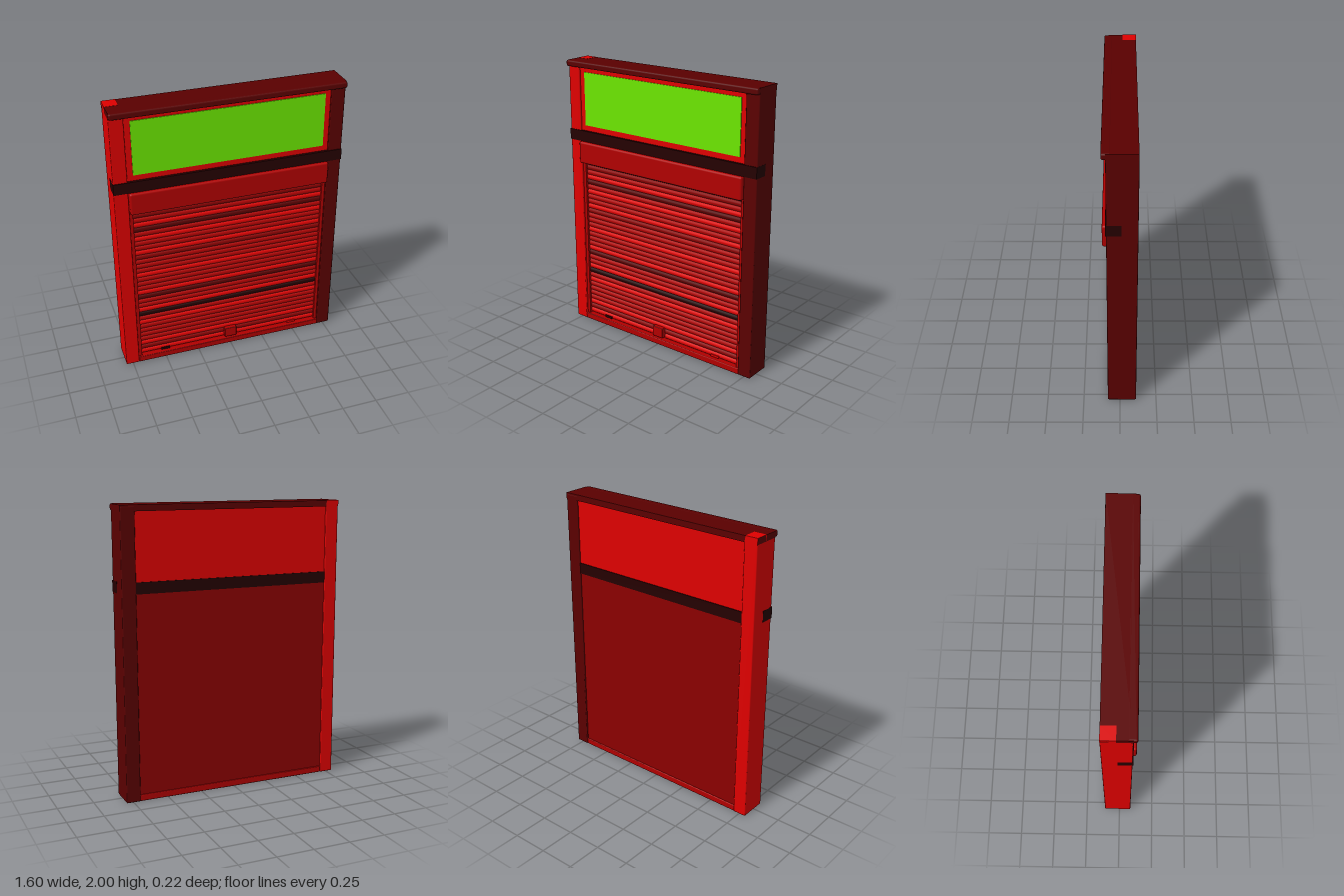
import * as THREE from 'three';
import { RoundedBoxGeometry } from 'three/addons/geometries/RoundedBoxGeometry.js';

const paint = (name, color) => {
  const m = new THREE.MeshStandardMaterial({ color });
  m.name = name;
  return m;
};

export function createModel() {
  const model = new THREE.Group();
  model.name = 'rollerShutterDoor';

  const bright = paint('brightRed', 0xde0000);
  const mid = paint('midRed', 0xb00000);
  const wine = paint('wineRed', 0x8b0000);
  const dark = paint('darkRed', 0x5a0000);
  const black = paint('nearBlack', 0x240000);
  const green = paint('signGreen', 0x6ce800);

  // Box from its limits, with softened edges when a radius is given
  function box(name, mat, [x0, x1], [y0, y1], [z0, z1], radius = 0) {
    const size = [x1 - x0, y1 - y0, z1 - z0];
    const geo = radius
      ? new RoundedBoxGeometry(...size, 2, radius)
      : new THREE.BoxGeometry(...size);
    const mesh = new THREE.Mesh(geo, mat);
    mesh.name = name;
    mesh.position.set((x0 + x1) / 2, (y0 + y1) / 2, (z0 + z1) / 2);
    model.add(mesh);
  }

  // Side posts, top beam and sill
  box('rightPost', bright, [-0.799, -0.703], [0, 1.99], [-0.111, 0.084], 0.007);
  box('leftPost', dark, [0.7, 0.799], [0, 1.99], [-0.111, 0.084], 0.007);
  box('topBeam', dark, [-0.8, 0.8], [1.957, 1.999], [-0.11, 0.084]);
  box('topBeamNose', dark, [-0.8, 0.8], [1.957, 2], [0.05, 0.111], 0.012);
  box('rightPostCap', bright, [-0.8, -0.71], [1.96, 2], [-0.111, -0.015]);
  box('sill', mid, [-0.704, 0.704], [0, 0.045], [-0.108, 0.084], 0.006);

  // Upper sign panel and the band beneath it
  box('signPanel', bright, [-0.704, 0.704], [1.49, 1.965], [-0.1, 0.07]);
  box('signFace', green, [-0.662, 0.662], [1.54, 1.923], [0.07, 0.075]);
  box('band', black, [-0.798, 0.798], [1.422, 1.5], [-0.106, 0.09]);

  // Shutter housing and backing sheet
  box('shutterHousing', mid, [-0.7, 0.7], [1.262, 1.422], [0.02, 0.112], 0.014);
  box('shutterBacking', wine, [-0.704, 0.704], [0.03, 1.43], [-0.1, 0.04]);

  // Shutter rails and the short ends of the band folded round the posts
  for (const s of [-1, 1]) {
    const span = (a, b) => (s < 0 ? [-b, -a] : [a, b]);
    box('shutterRail', mid, span(0.678, 0.704), [0.04, 1.27], [0.03, 0.068]);
    box('bandEnd', black, span(0.795, 0.8), [1.422, 1.5], [-0.01, 0.09]);
  }

  // Rounded slats from top to bottom, coloured by a letter pattern
  const slatPaint = { B: bright, M: mid, W: wine, D: dark, K: black };
  const pitch = 0.0371;
  const slatGeo = new THREE.CylinderGeometry(pitch / 2, pitch / 2, 1.356, 12);
  slatGeo.rotateZ(Math.PI / 2);
  slatGeo.scale(1, 1, 0.75);
  [...'KWMBDMBMMBWMMMBMMMBDMMBKMBMMMMBWB'].forEach((c, i) => {
    const slat = new THREE.Mesh(slatGeo, slatPaint[c]);
    slat.name = 'slat';
    slat.position.set(0, 1.255 - i * pitch, 0.042);
    model.add(slat);
  });

  // Handle and small tags on the bottom slat
  box('handle', mid, [-0.045, 0.045], [0.06, 0.137], [0.04, 0.084], 0.005);
  box('blackTag', black, [-0.53, -0.465], [0.052, 0.068], [0.05, 0.063]);
  box('redTag', bright, [0.46, 0.525], [0.052, 0.068], [0.05, 0.063]);

  return model;
}
